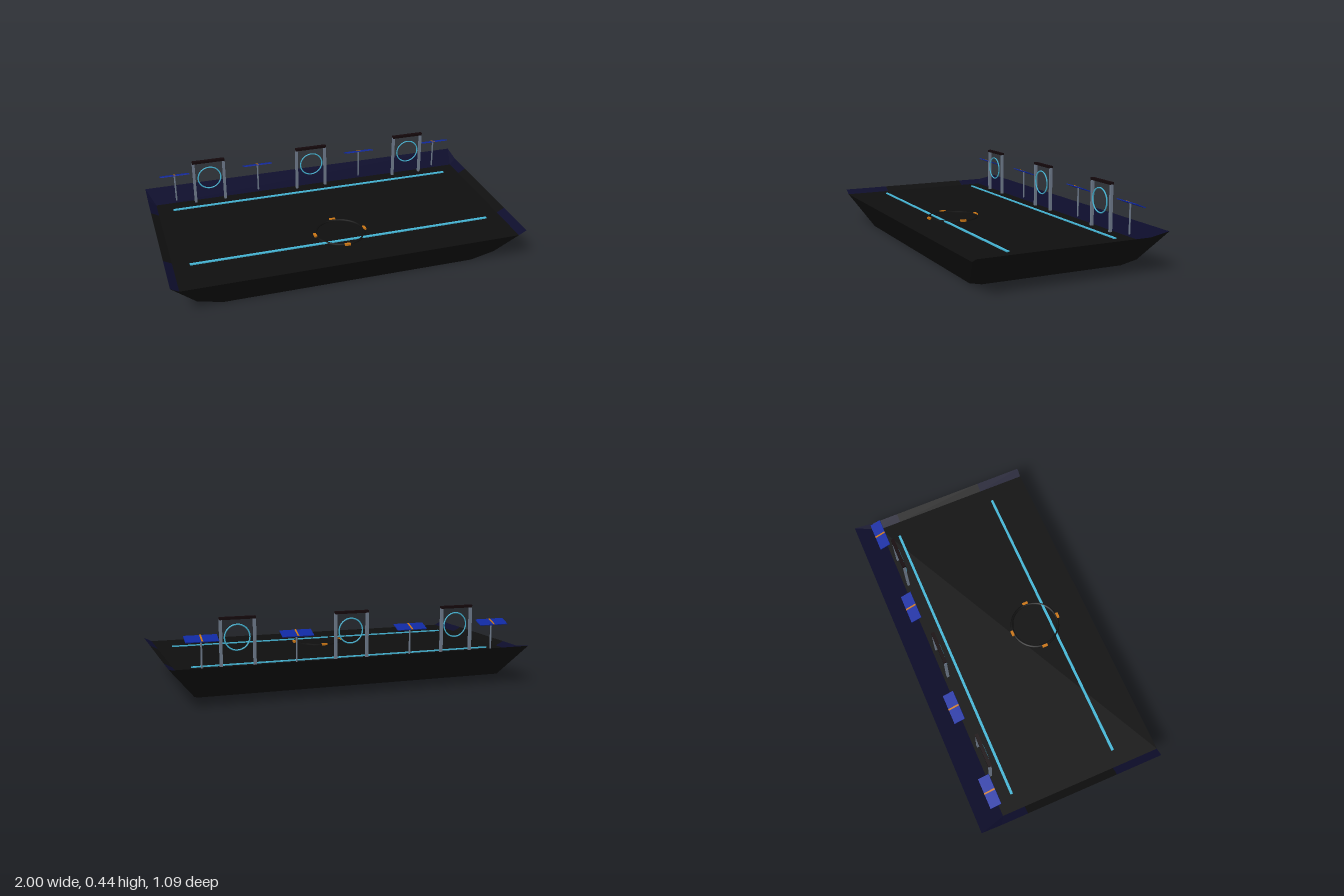
import * as THREE from 'three';

const mat = (name, color, side = THREE.FrontSide) => {
  const m = new THREE.MeshStandardMaterial({ color, side });
  m.name = name;
  return m;
};

// Flat-shaded sheet joining two rows of points
function sheet(rowA, rowB) {
  const pos = [];
  for (let i = 0; i < rowA.length - 1; i++) {
    const [a, b, c, d] = [rowA[i], rowA[i + 1], rowB[i + 1], rowB[i]];
    pos.push(...a, ...d, ...b, ...b, ...d, ...c);
  }
  const g = new THREE.BufferGeometry();
  g.setAttribute('position', new THREE.Float32BufferAttribute(pos, 3));
  g.computeVertexNormals();
  return g;
}

export function createModel() {
  const root = new THREE.Group();
  root.name = 'platform';
  const black = mat('deck black', 0x0f0f0f, THREE.DoubleSide);
  const navy = mat('rim navy', 0x0d0d2b, THREE.DoubleSide);
  const cyan = mat('light cyan', 0x44b4d4);
  const slate = mat('post slate', 0x6c7889);
  const maroon = mat('beam dark maroon', 0x14080b);
  const blue = mat('panel blue', 0x1029a0);
  const amber = mat('marker amber', 0xc87414);

  const add = (parent, name, geo, material, x = 0, y = 0, z = 0) => {
    const m = new THREE.Mesh(geo, material);
    m.name = name;
    m.position.set(x, y, z);
    parent.add(m);
    return m;
  };
  const box = (w, h, d) => new THREE.BoxGeometry(w, h, d);

  const deckY = 0.176, front = 0.545, inner = 0.955;
  const flip = ([x, y, z]) => [-x, y, z];

  // Sloping skirt, open underneath: half outline mirrored into a loop
  const topHalf = [[inner, deckY, front], [1, 0.2, front], [1, 0.2, -0.43], [1, 0.22, -front]];
  const lowHalf = [[0.72, 0, 0.45], [0.86, 0.032, 0.45], [0.86, 0.03, -0.35], [0.86, 0.05, -0.45]];
  const loop = (half) => [...half, ...half.map(flip).reverse(), half[0]];
  add(root, 'hullSkirt', sheet(loop(lowHalf), loop(topHalf)), black);

  // Flat deck
  add(root, 'deck', sheet(
    [[-inner, deckY, -0.4], [inner, deckY, -0.4]],
    [[-inner, deckY, front], [inner, deckY, front]]), black);

  // Raised back rim
  add(root, 'backRim', sheet(
    [[-1, 0.22, -front], [1, 0.22, -front]],
    [[-inner, deckY, -0.4], [inner, deckY, -0.4]]), navy);

  // Raised side rims
  for (const s of [1, -1]) {
    const rim = (name, ins, outs, m) => add(root, name, sheet(
      ins.map((z) => [s * inner, deckY, z]),
      outs.map(([y, z]) => [s, y, z])), m);
    rim('frontSideRim', [front, 0.27], [[0.2, front], [0.2, 0.27]], navy);
    rim('middleSideRim', [0.27, -0.27], [[0.2, 0.27], [0.2, -0.27]], black);
    rim('backSideRim', [-0.27, -0.4, -0.4], [[0.2, -0.27], [0.2, -0.43], [0.22, -front]], navy);
  }

  // Light strips set through the deck
  for (const z of [0.312, -0.308]) add(root, 'lightStrip', box(1.73, 0.012, 0.015), cyan, 0, deckY, z);

  // Landing ring with four markers
  const pad = new THREE.Group();
  pad.name = 'landingPad';
  pad.position.set(0, deckY, 0.22);
  root.add(pad);
  add(pad, 'padRing', new THREE.TorusGeometry(0.137, 0.008, 6, 40), black).rotation.x = Math.PI / 2;
  for (let i = 0; i < 4; i++) {
    const a = i * Math.PI / 2;
    add(pad, 'padMarker', box(0.033, 0.022, 0.015), amber,
      Math.sin(a) * 0.145, 0, Math.cos(a) * 0.145).rotation.y = a;
  }

  // Gates with hanging rings
  for (const x of [-0.63, 0, 0.63]) {
    const gate = new THREE.Group();
    gate.name = 'gate';
    gate.position.set(x, 0, -0.375);
    root.add(gate);
    for (const s of [1, -1]) add(gate, 'gatePost', box(0.015, 0.256, 0.015), slate, s * 0.09, 0.304, 0);
    add(gate, 'gateBeam', box(0.192, 0.014, 0.02), maroon, 0, 0.437, 0);
    add(gate, 'gateRing', new THREE.TorusGeometry(0.068, 0.004, 6, 32), cyan, 0, 0.333, 0.011);
  }

  // Tilted panels on thin poles
  for (const x of [-0.83, -0.325, 0.325, 0.83]) {
    const stand = new THREE.Group();
    stand.name = 'panelStand';
    stand.position.set(x, 0, -0.42);
    root.add(stand);
    add(stand, 'panelPole', new THREE.CylinderGeometry(0.005, 0.005, 0.168, 8), slate, 0, 0.262, 0);
    const panel = new THREE.Group();
    panel.name = 'panel';
    panel.position.set(0, 0.347, -0.004);
    panel.rotation.x = -0.38;
    stand.add(panel);
    add(panel, 'panelFace', box(0.172, 0.005, 0.066), blue);
    add(panel, 'panelStripe', box(0.009, 0.003, 0.066), amber, 0, 0.003, 0);
  }
  return root;
}
